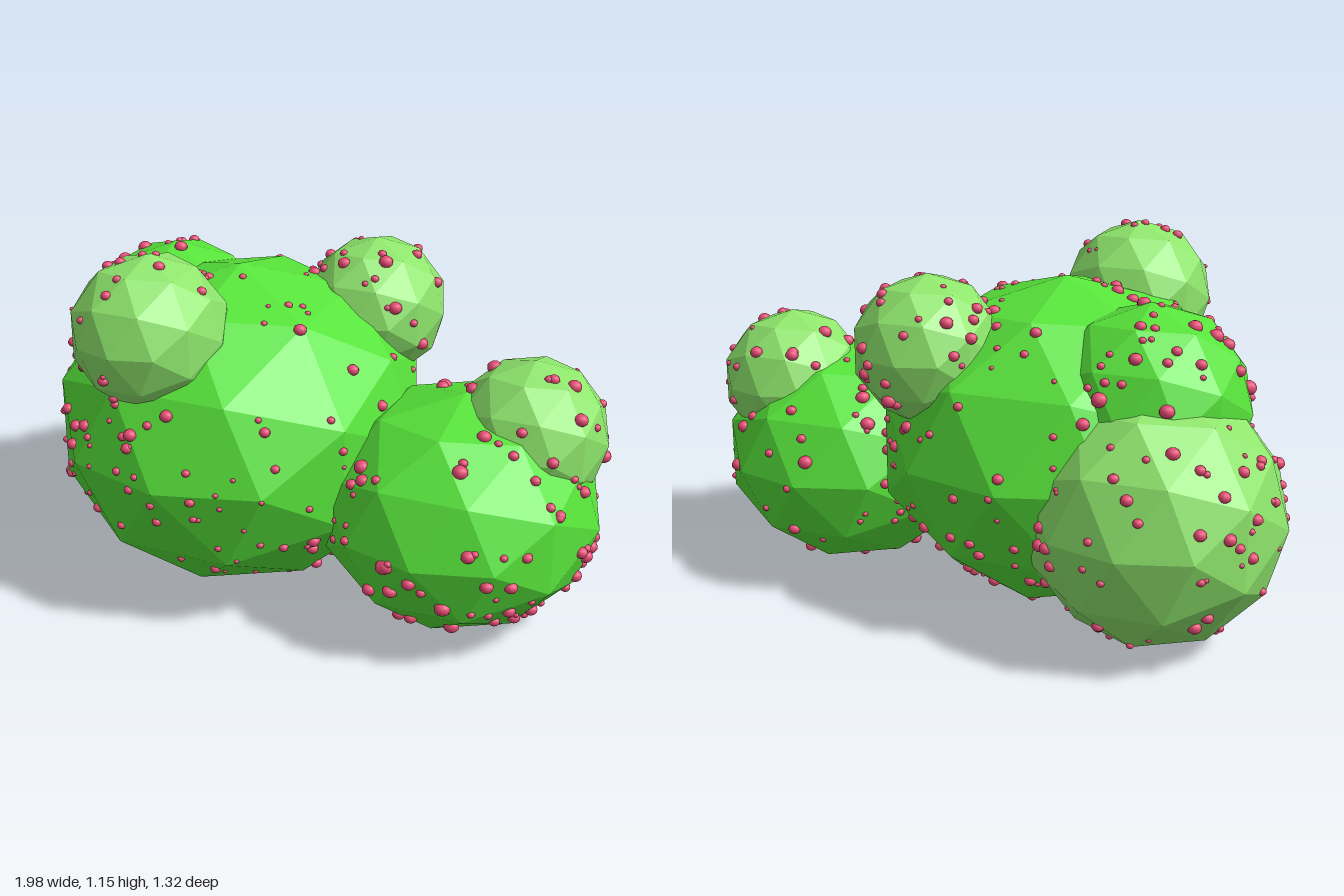
import * as THREE from 'three';
import { mergeGeometries } from 'three/addons/utils/BufferGeometryUtils.js';

const leafMat = new THREE.MeshStandardMaterial({ color: 0x57e33a, flatShading: true });
const paleMat = new THREE.MeshStandardMaterial({ color: 0x8ee56c, flatShading: true });
const berryMat = new THREE.MeshStandardMaterial({ color: 0xe64a74 });

// name, centre, radii, material, number of berries, largest berry radius
const clumps = [
  ['mainClump', [-0.21, 0.525, 0.04], [0.595, 0.515, 0.62], leafMat, 250, 0.021],
  ['leftClump', [0.55, 0.38, 0.08], [0.435, 0.37, 0.46], leafMat, 130, 0.025],
  ['upperRightClump', [-0.53, 0.71, -0.13], [0.315, 0.31, 0.32], leafMat, 90, 0.026],
  ['backRightClump', [-0.59, 0.415, -0.25], [0.4, 0.4, 0.41], paleMat, 125, 0.022],
  ['frontTopClump', [-0.34, 0.92, 0.39], [0.24, 0.24, 0.25], paleMat, 35, 0.018],
  ['backTopClump', [0.13, 0.85, -0.26], [0.23, 0.23, 0.24], paleMat, 50, 0.024],
  ['leftTopClump', [0.737, 0.62, 0], [0.237, 0.235, 0.243], paleMat, 45, 0.025],
];

function seeded(seed) {
  return () => {
    seed = (seed * 16807) % 2147483647;
    return seed / 2147483647;
  };
}

// True when a point lies inside any clump but its own
function isBuried(p, own) {
  return clumps.some(([, c, r], i) => i !== own &&
    ((p.x - c[0]) / r[0]) ** 2 + ((p.y - c[1]) / r[1]) ** 2 + ((p.z - c[2]) / r[2]) ** 2 < 0.95);
}

// Berries scattered over the facets of one clump
function scatterBerries(surface, own, count, maxRadius, random) {
  const pos = surface.attributes.position;
  const corners = [0, 1, 2].map(() => new THREE.Vector3());
  const berries = [];
  for (let i = 0; i < count; i++) {
    const face = Math.floor(random() * pos.count / 3) * 3;
    corners.forEach((v, k) => v.fromBufferAttribute(pos, face + k));
    const s = Math.sqrt(random()), t = random();
    const p = new THREE.Vector3()
      .addScaledVector(corners[0], 1 - s)
      .addScaledVector(corners[1], s * (1 - t))
      .addScaledVector(corners[2], s * t);
    const radius = maxRadius * (0.35 + 0.65 * random());
    if (isBuried(p, own)) continue;
    const berry = new THREE.SphereGeometry(radius, 10, 7);
    berry.scale(1, 0.87, 1).translate(p.x, p.y, p.z);
    berries.push(berry);
  }
  return mergeGeometries(berries);
}

export function createModel() {
  const model = new THREE.Group();
  model.name = 'berryBush';
  const random = seeded(4711);
  clumps.forEach(([name, centre, radii, material, count, maxRadius], i) => {
    // Faceted leaf clump
    const surface = new THREE.IcosahedronGeometry(1, 1);
    surface.rotateY(Math.PI / 2).scale(...radii).translate(...centre);
    const clump = new THREE.Mesh(surface, material);
    clump.name = name;
    // Its berries
    const berries = new THREE.Mesh(scatterBerries(surface, i, count, maxRadius, random), berryMat);
    berries.name = name + 'Berries';
    model.add(clump, berries);
  });
  return model;
}
